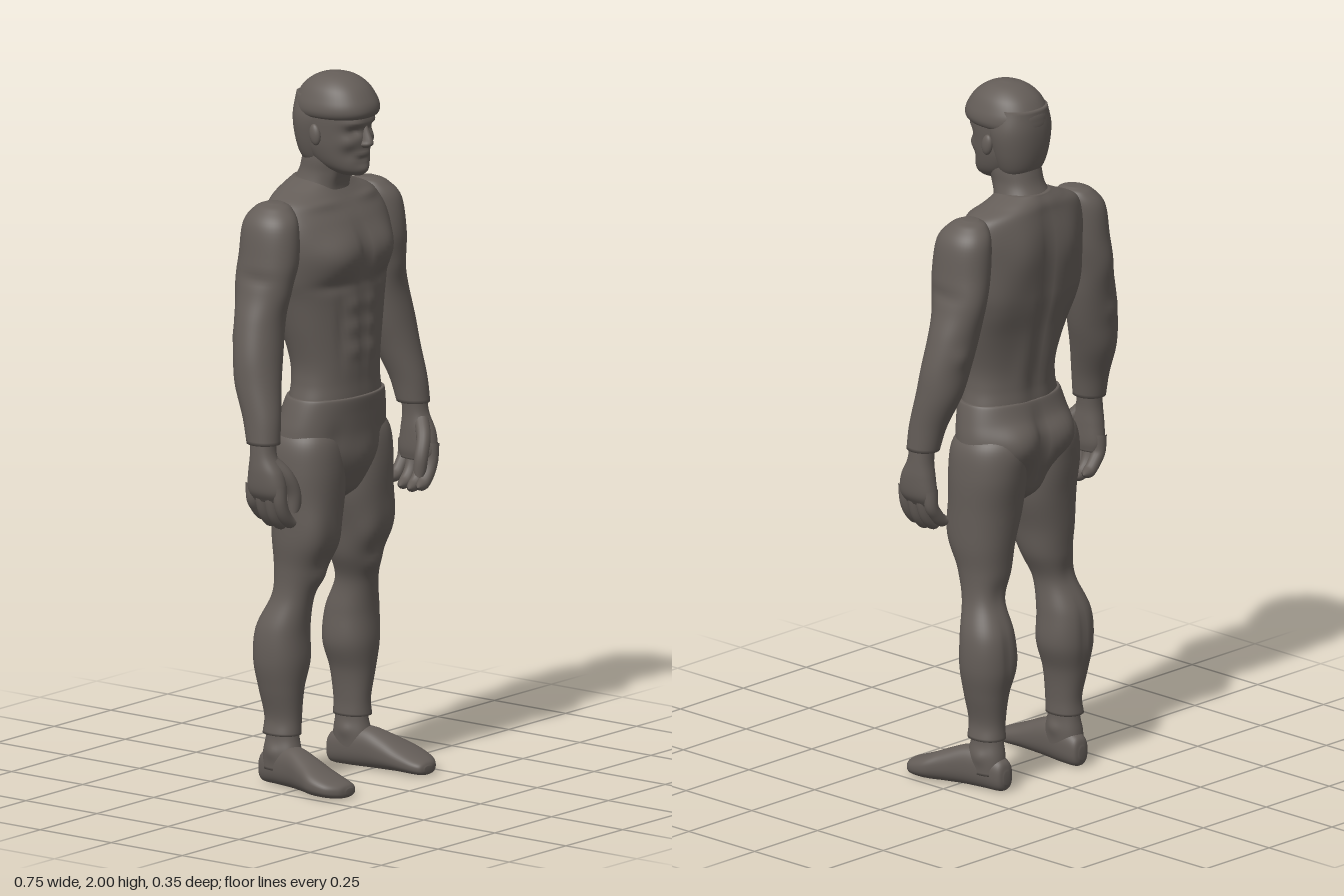
import * as THREE from 'three';

const clay = new THREE.MeshStandardMaterial({ color: 0x645d58 });
clay.name = 'dark clay';

function mesh(parent, name, geometry) {
  const m = new THREE.Mesh(geometry, clay);
  m.name = name;
  parent.add(m);
  return m;
}

// Closed smooth skin through elliptical sections. Row: [t, cx, c, rx, r].
// axis 'y': t is height (top to bottom), c/r along z. axis 'z': t is depth (back to front), c/r along y.
// Bump: [x, y, z, sx, sy, sz, amount] swells the skin along its normal.
function loft(rows, { s = 1, axis = 'y', n = 2.2, bumps = [], seg = 48, sub = 7 } = {}) {
  const spline = new THREE.CubicInterpolant(rows.map((_, i) => i), rows.flat(), 5, new Float32Array(5));
  const rings = (rows.length - 1) * sub, pos = [], index = [];
  const put = (x, t, c) => (axis === 'y' ? pos.push(x, t, c) : pos.push(x, c, t));
  const pw = (v) => Math.sign(v) * Math.abs(v) ** (2 / n);
  for (let i = 0; i <= rings; i++) {
    const [t, cx, c, rx, r] = spline.evaluate(i / sub);
    for (let j = 0; j < seg; j++) {
      const a = (j / seg) * Math.PI * 2;
      put(s * cx + rx * pw(Math.cos(a)), t, c + r * pw(Math.sin(a)));
    }
  }
  for (let i = 0; i < rings; i++) {
    for (let j = 0; j < seg; j++) {
      const a = i * seg + j, b = i * seg + ((j + 1) % seg);
      index.push(a, b, a + seg, b, b + seg, a + seg);
    }
  }
  const first = (rings + 1) * seg, end = rings * seg, last = rows[rows.length - 1];
  put(s * rows[0][1], rows[0][0], rows[0][2]);
  put(s * last[1], last[0], last[2]);
  for (let j = 0; j < seg; j++) {
    const k = (j + 1) % seg;
    index.push(first, k, j, first + 1, end + j, end + k);
  }
  const g = new THREE.BufferGeometry();
  g.setAttribute('position', new THREE.Float32BufferAttribute(pos, 3));
  g.setIndex(index);
  g.computeVertexNormals();
  const p = g.attributes.position, nor = g.attributes.normal;
  for (let i = 0; i < p.count; i++) {
    let d = 0;
    for (const [x, y, z, sx, sy, sz, amt] of bumps) {
      d += amt * Math.exp(-(((p.getX(i) - s * x) / sx) ** 2) - ((p.getY(i) - y) / sy) ** 2 - ((p.getZ(i) - z) / sz) ** 2);
    }
    p.setXYZ(i, p.getX(i) + nor.getX(i) * d, p.getY(i) + nor.getY(i) * d, p.getZ(i) + nor.getZ(i) * d);
  }
  g.computeVertexNormals();
  return g;
}

// Tube with rounded ends, for fingers
function digit(points, radius) {
  const curve = new THREE.CatmullRomCurve3(points.map((q) => new THREE.Vector3(...q)));
  const n = 24, m = 14, g = new THREE.TubeGeometry(curve, n, radius, m);
  const p = g.attributes.position, v = new THREE.Vector3();
  for (let i = 0; i <= n; i++) {
    const c = curve.getPointAt(i / n), u = Math.min(1, (n - i) / 5);
    const k = Math.sqrt(1 - (1 - u) ** 2) * (1 - 0.12 * (i / n));
    for (let j = 0; j <= m; j++) {
      const id = i * (m + 1) + j;
      v.fromBufferAttribute(p, id).sub(c).multiplyScalar(k).add(c);
      p.setXYZ(id, v.x, v.y, v.z);
    }
  }
  return g;
}

const pair = (list) => list.flatMap((b) => [b, [-b[0], ...b.slice(1)]]);

export function createModel() {
  const model = new THREE.Group();
  model.name = 'figure';

  // Head, with sockets, brow, cheeks, lips and chin
  const head = new THREE.Group();
  head.name = 'head';
  model.add(head);
  mesh(head, 'face', loft([
    [1.99, 0, -0.01, 0.03, 0.035], [1.97, 0, -0.01, 0.065, 0.08], [1.93, 0, -0.01, 0.087, 0.104],
    [1.88, 0, -0.012, 0.088, 0.112], [1.84, 0, -0.012, 0.085, 0.11], [1.8, 0, -0.008, 0.08, 0.103],
    [1.76, 0, 0.01, 0.068, 0.083], [1.735, 0, 0.03, 0.052, 0.06], [1.72, 0, 0.045, 0.03, 0.037],
  ], {
    seg: 64, bumps: [...pair([
      [0.036, 1.846, 0.09, 0.02, 0.013, 0.04, -0.014], [0.036, 1.871, 0.09, 0.03, 0.01, 0.04, 0.006],
      [0.05, 1.815, 0.075, 0.02, 0.02, 0.03, 0.006], [0.045, 1.785, 0.07, 0.016, 0.02, 0.03, -0.005],
    ]), [0, 1.782, 0.1, 0.025, 0.007, 0.03, 0.006], [0, 1.768, 0.1, 0.024, 0.004, 0.03, -0.004],
    [0, 1.738, 0.09, 0.022, 0.014, 0.03, 0.008]],
  }));
  mesh(head, 'nose', loft([
    [1.868, 0, 0.085, 0.008, 0.012], [1.845, 0, 0.09, 0.01, 0.018], [1.82, 0, 0.094, 0.014, 0.026],
    [1.808, 0, 0.094, 0.018, 0.025], [1.798, 0, 0.09, 0.01, 0.014],
  ], { n: 2, seg: 20 }));
  mesh(head, 'hairCap', loft([
    [2, 0, -0.005, 0.012, 0.014], [1.99, 0, -0.005, 0.048, 0.055], [1.965, 0, -0.005, 0.078, 0.092],
    [1.93, 0, -0.004, 0.095, 0.116], [1.905, 0, -0.003, 0.1, 0.122], [1.888, 0, -0.006, 0.095, 0.119],
    [1.88, 0, -0.012, 0.084, 0.108],
  ]));
  mesh(head, 'backHair', loft([
    [1.94, 0, -0.05, 0.08, 0.07], [1.88, 0, -0.052, 0.094, 0.074], [1.82, 0, -0.055, 0.086, 0.067],
    [1.77, 0, -0.055, 0.07, 0.055], [1.74, 0, -0.05, 0.05, 0.04],
  ]));
  mesh(head, 'neck', loft([
    [1.82, 0, -0.025, 0.06, 0.07], [1.76, 0, -0.035, 0.066, 0.072], [1.72, 0, -0.047, 0.067, 0.07],
    [1.68, 0, -0.062, 0.078, 0.075], [1.64, 0, -0.065, 0.095, 0.08],
  ], { bumps: pair([[0.035, 1.72, 0.01, 0.014, 0.05, 0.03, 0.005]]) }));

  // Torso, with chest, abdominals, back muscles and spine groove
  mesh(model, 'torso', loft([
    [1.7, 0, -0.07, 0.068, 0.065], [1.675, 0, -0.07, 0.125, 0.08], [1.645, 0, -0.062, 0.19, 0.093],
    [1.59, 0, -0.047, 0.217, 0.115], [1.52, 0, -0.037, 0.218, 0.128], [1.44, 0, -0.037, 0.208, 0.125],
    [1.38, 0, -0.034, 0.19, 0.121], [1.3, 0, -0.024, 0.171, 0.111], [1.2, 0, -0.012, 0.147, 0.101],
    [1.14, 0, -0.01, 0.146, 0.097], [1.09, 0, -0.011, 0.156, 0.099], [1.05, 0, -0.012, 0.16, 0.095],
  ], {
    seg: 72, sub: 9, bumps: [...pair([
      [0.085, 1.5, 0.08, 0.075, 0.06, 0.06, 0.024], [0.1, 1.42, 0.08, 0.07, 0.02, 0.06, -0.008],
      [0.085, 1.55, -0.16, 0.06, 0.09, 0.06, 0.014], [0.15, 1.4, -0.1, 0.05, 0.09, 0.06, 0.01],
      [0.035, 1.36, 0.09, 0.024, 0.022, 0.05, 0.006], [0.035, 1.295, 0.09, 0.024, 0.022, 0.05, 0.006],
      [0.035, 1.23, 0.09, 0.024, 0.022, 0.05, 0.006], [0.08, 1.3, 0.08, 0.012, 0.1, 0.05, -0.005],
      [0.045, 1.2, -0.11, 0.03, 0.1, 0.05, 0.008], [0.1, 1.64, 0.02, 0.06, 0.012, 0.05, 0.006],
    ]), [0, 1.38, -0.15, 0.018, 0.22, 0.06, -0.014], [0, 1.5, 0.1, 0.014, 0.07, 0.05, -0.012],
    [0, 1.28, 0.1, 0.009, 0.12, 0.05, -0.004]],
  }));

  // Trousers: seat with a raised waist edge, then one leg per side
  const trousers = new THREE.Group();
  trousers.name = 'trousers';
  model.add(trousers);
  mesh(trousers, 'seat', loft([
    [1.1, 0, -0.011, 0.158, 0.1], [1.094, 0, -0.011, 0.165, 0.106], [1.05, 0, -0.018, 0.178, 0.11],
    [1, 0, -0.027, 0.188, 0.116], [0.94, 0, -0.027, 0.188, 0.112], [0.88, 0, -0.025, 0.14, 0.095],
    [0.83, 0, -0.025, 0.075, 0.075], [0.8, 0, -0.025, 0.03, 0.04],
  ], {
    seg: 64, bumps: [...pair([[0.085, 0.985, -0.14, 0.065, 0.06, 0.06, 0.026], [0.1, 0.98, 0.08, 0.03, 0.05, 0.05, -0.006]]),
      [0, 0.98, -0.15, 0.02, 0.08, 0.06, -0.02], [0, 0.92, 0.08, 0.05, 0.05, 0.05, 0.01]],
  }));

  for (const s of [1, -1]) {
    const side = s > 0 ? 'left' : 'right';
    mesh(trousers, side + 'Leg', loft([
      [1.03, 0.1, -0.03, 0.06, 0.07], [0.98, 0.105, -0.03, 0.091, 0.1], [0.9, 0.106, -0.03, 0.1, 0.109],
      [0.8, 0.106, -0.025, 0.098, 0.1], [0.7, 0.118, -0.024, 0.083, 0.091], [0.62, 0.122, -0.035, 0.07, 0.073],
      [0.54, 0.14, -0.048, 0.056, 0.06], [0.45, 0.152, -0.073, 0.073, 0.073], [0.36, 0.152, -0.077, 0.077, 0.077],
      [0.28, 0.157, -0.075, 0.057, 0.065], [0.2, 0.152, -0.073, 0.043, 0.055], [0.15, 0.155, -0.074, 0.046, 0.056],
    ], {
      s, bumps: [
        [0.085, 0.985, -0.14, 0.06, 0.06, 0.06, 0.018], [0.12, 0.6, 0.02, 0.03, 0.03, 0.04, 0.01],
        [0.075, 0.7, 0.04, 0.03, 0.05, 0.04, 0.008], [0.165, 0.74, 0.05, 0.03, 0.07, 0.04, 0.008],
        [0.12, 0.65, 0.04, 0.02, 0.03, 0.04, -0.006], [0.14, 0.56, -0.11, 0.03, 0.04, 0.04, -0.006],
        [0.15, 0.4, -0.15, 0.012, 0.08, 0.03, -0.005],
      ],
    }));

    // Bare foot and ankle
    const foot = new THREE.Group();
    foot.name = side + 'Foot';
    model.add(foot);
    mesh(foot, 'ankle', loft([
      [0.19, 0.152, -0.073, 0.036, 0.045], [0.14, 0.152, -0.074, 0.036, 0.05], [0.1, 0.154, -0.073, 0.041, 0.058],
      [0.05, 0.155, -0.072, 0.04, 0.062],
    ], { s, bumps: [[0.2, 0.1, -0.08, 0.02, 0.02, 0.02, 0.006], [0.11, 0.11, -0.07, 0.02, 0.02, 0.02, 0.006]] }));
    mesh(foot, 'foot', loft([
      [-0.148, 0.15, 0.045, 0.012, 0.018], [-0.135, 0.15, 0.05, 0.03, 0.043], [-0.08, 0.154, 0.06, 0.04, 0.055],
      [-0.02, 0.163, 0.062, 0.044, 0.057], [0.04, 0.176, 0.052, 0.054, 0.047], [0.09, 0.187, 0.041, 0.062, 0.036],
      [0.14, 0.186, 0.031, 0.056, 0.026], [0.17, 0.178, 0.026, 0.038, 0.019], [0.18, 0.172, 0.024, 0.016, 0.009],
    ], { s, axis: 'z', n: 2.4 }));

    // Arm from shoulder to cuff
    mesh(model, side + 'Arm', loft([
      [1.66, 0.205, -0.06, 0.02, 0.025], [1.645, 0.212, -0.06, 0.045, 0.055], [1.6, 0.227, -0.057, 0.064, 0.084],
      [1.5, 0.237, -0.055, 0.068, 0.09], [1.42, 0.252, -0.062, 0.066, 0.077], [1.34, 0.27, -0.06, 0.073, 0.069],
      [1.25, 0.29, -0.05, 0.073, 0.066], [1.17, 0.306, -0.038, 0.063, 0.065], [1.08, 0.322, -0.012, 0.049, 0.055],
      [1.01, 0.33, 0, 0.043, 0.048],
    ], {
      s, n: 2.05, bumps: [
        [0.25, 1.42, 0.01, 0.04, 0.05, 0.04, 0.009], [0.3, 1.46, -0.05, 0.04, 0.02, 0.05, -0.006],
        [0.26, 1.44, -0.13, 0.04, 0.06, 0.04, 0.008], [0.3, 1.29, -0.11, 0.025, 0.025, 0.03, 0.006],
      ],
    }));

    // Half-closed hand
    const hand = new THREE.Group();
    hand.name = side + 'Hand';
    model.add(hand);
    mesh(hand, 'palm', loft([
      [1.04, 0.33, 0, 0.034, 0.036], [0.98, 0.335, 0.004, 0.033, 0.038], [0.93, 0.335, 0.013, 0.036, 0.054],
      [0.88, 0.332, 0.015, 0.034, 0.062], [0.85, 0.326, 0.014, 0.022, 0.052],
    ], { s }));
    for (let i = 0; i < 4; i++) {
      const z = -0.034 + i * 0.032, low = [0.02, 0.004, 0, 0.008][i];
      mesh(hand, 'finger', digit([
        [s * 0.336, 0.9, z], [s * 0.332, 0.85, z], [s * 0.318, 0.808 + low, z],
        [s * 0.295, 0.783 + low, z], [s * 0.27, 0.775 + low, z],
      ], 0.02));
    }
    mesh(hand, 'thumb', digit([
      [s * 0.328, 0.96, 0.03], [s * 0.302, 0.92, 0.058], [s * 0.28, 0.87, 0.068], [s * 0.275, 0.81, 0.064],
    ], 0.021));

    // Ear
    const ear = mesh(head, side + 'Ear', new THREE.SphereGeometry(1, 20, 14));
    ear.scale.set(0.012, 0.03, 0.018);
    ear.position.set(s * 0.088, 1.835, -0.012);
    ear.rotation.x = -0.15;
  }
  return model;
}
